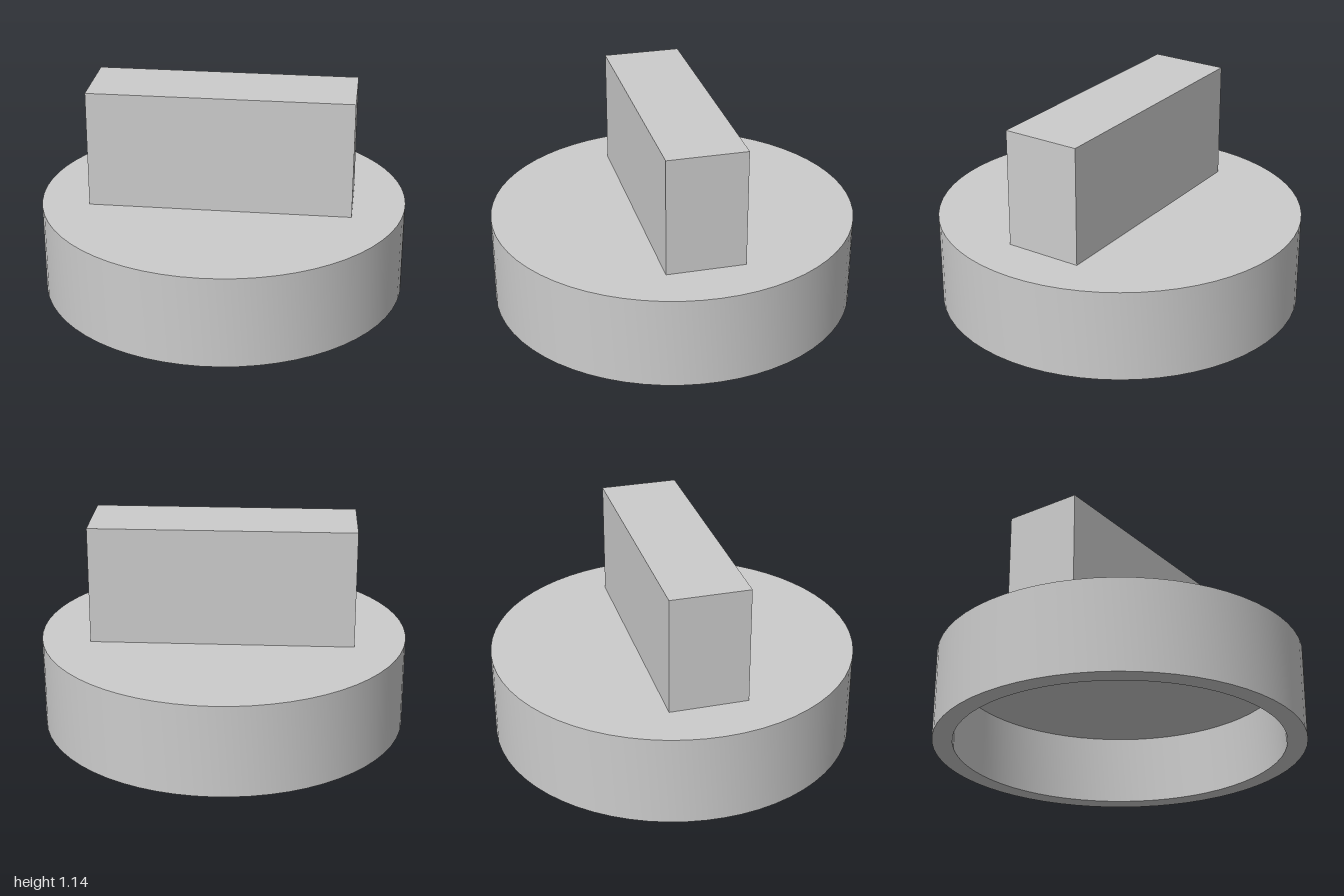
import * as THREE from 'three';
import { toCreasedNormals } from 'three/addons/utils/BufferGeometryUtils.js';

export function createModel() {
  const group = new THREE.Group();
  group.name = 'gripCap';
  const grey = new THREE.MeshStandardMaterial({ color: 0xcccccc });
  grey.name = 'light grey';

  // Round cap, hollow from below: ceiling, inner wall, rim, outer wall, top
  const height = 0.5, inner = 0.893, ceiling = 0.393;
  const profile = [
    [0, ceiling], [inner, ceiling], [inner, 0], [1, 0], [1, height], [0, height],
  ].map(([r, y]) => new THREE.Vector2(r, y));
  const capGeometry = toCreasedNormals(new THREE.LatheGeometry(profile, 64), Math.PI / 6);
  const cap = new THREE.Mesh(capGeometry, grey);
  cap.name = 'hollowCap';
  group.add(cap);

  // Upright grip bar standing on the cap
  const gripHeight = 0.643;
  const grip = new THREE.Mesh(new THREE.BoxGeometry(1.428, gripHeight, 0.428), grey);
  grip.name = 'gripBar';
  grip.position.y = height + gripHeight / 2;
  group.add(grip);

  return group;
}
